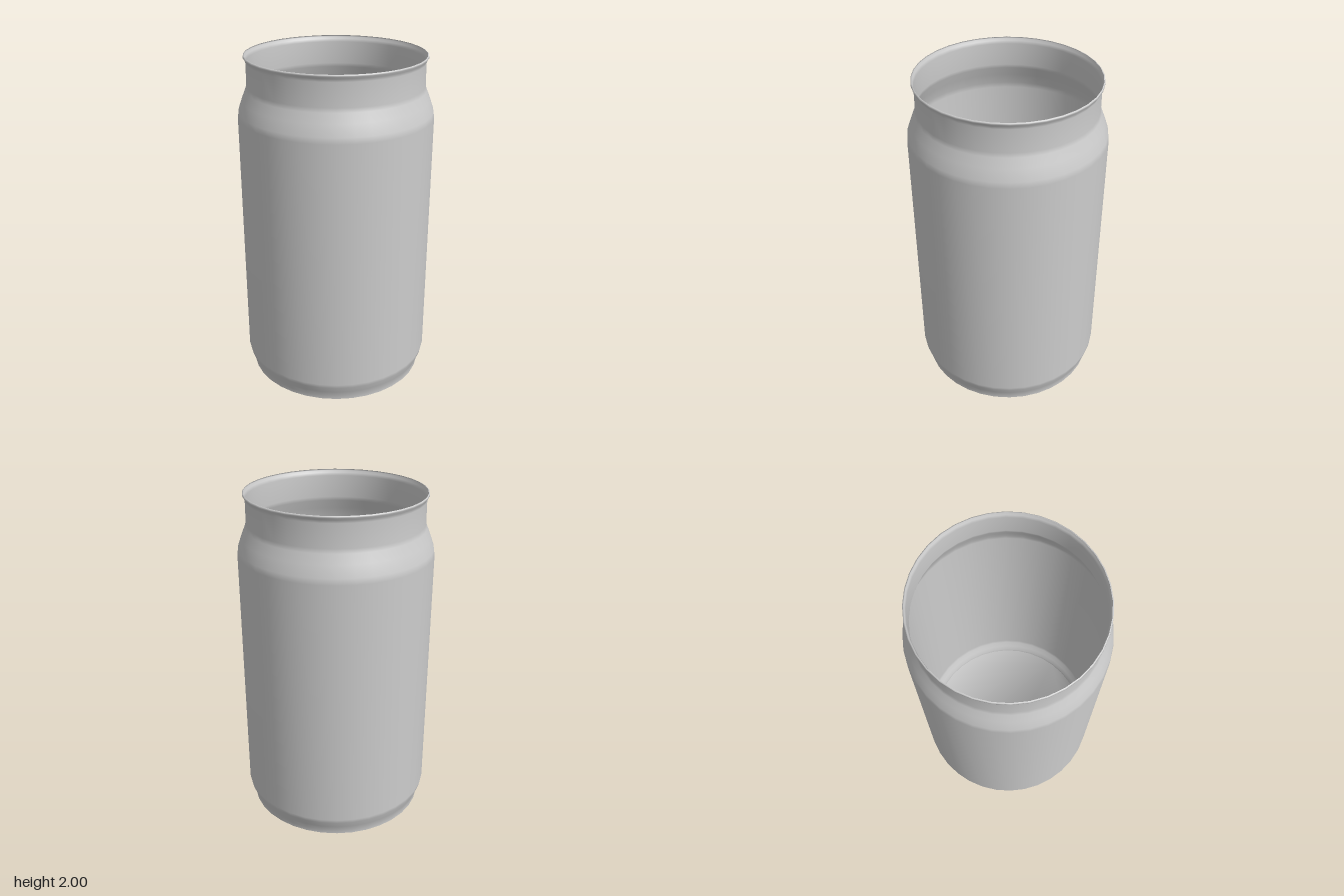
import * as THREE from 'three';

const SEGMENTS = 36;
const BASE_RADIUS = 0.54;

export function createModel() {
  const group = new THREE.Group();
  group.name = 'openCan';
  const metal = new THREE.MeshStandardMaterial({ color: 0xcccccc, side: THREE.DoubleSide });
  metal.name = 'plain grey metal';

  const addLathe = (name, profile) => {
    const points = profile.map(([r, y]) => new THREE.Vector2(r, y));
    const mesh = new THREE.Mesh(new THREE.LatheGeometry(points, SEGMENTS), metal);
    mesh.name = name;
    group.add(mesh);
  };

  // Thin wall: foot, tapered heel, straight body, shoulder, neck and flared lip
  addLathe('canWall', [
    [BASE_RADIUS, 0], [0.541, 0.025], [0.553, 0.06], [0.568, 0.1], [0.573, 0.125],
    [0.573, 1.645], [0.568, 1.68], [0.545, 1.745], [0.523, 1.8], [0.516, 1.825],
    [0.515, 1.96], [0.52, 1.978], [0.529, 1.99], [0.528, 1.998], [0.522, 2],
  ]);

  // Flat base, with normals that blend softly into the wall
  const rim = Array.from({ length: SEGMENTS }, (_, i) => {
    const a = (i / SEGMENTS) * Math.PI * 2;
    return new THREE.Vector2(Math.cos(a) * BASE_RADIUS, Math.sin(a) * BASE_RADIUS);
  });
  const baseGeometry = new THREE.ShapeGeometry(new THREE.Shape(rim));
  baseGeometry.rotateX(Math.PI / 2);
  const { position, normal } = baseGeometry.attributes;
  for (let i = 0; i < position.count; i++) {
    const k = 0.95 / BASE_RADIUS;
    normal.setXYZ(i, position.getX(i) * k, -0.31, position.getZ(i) * k);
  }
  const base = new THREE.Mesh(baseGeometry, metal);
  base.name = 'canBase';
  group.add(base);

  return group;
}
